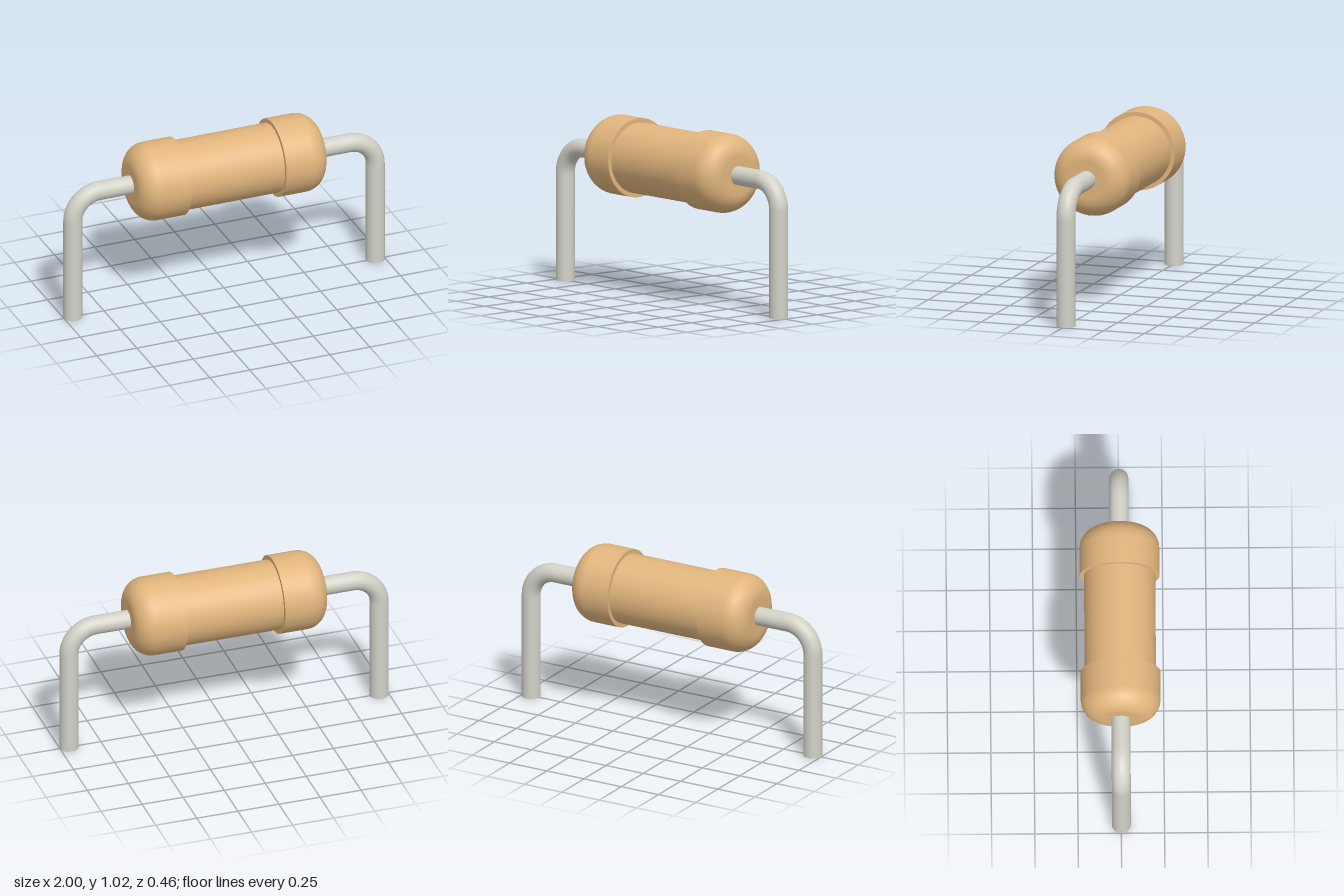
import * as THREE from 'three';

const AXIS_Y = 0.791;      // height of the body axis
const WIRE_R = 0.055;
const LEG_X = 0.945;       // centre line of each leg
const BEND_R = 0.165;      // bend radius of the wire centre line
const CAP_R = 0.231, CAP_IN = 0.297, CAP_OUT = 0.585, FILLET = 0.12;

export function createModel() {
  const tan = new THREE.MeshStandardMaterial({ color: 0xe1b57d });
  tan.name = 'tan coating';
  const metal = new THREE.MeshStandardMaterial({ color: 0xd2d1c7 });
  metal.name = 'grey metal';

  const model = new THREE.Group();
  model.name = 'axialComponent';

  const add = (parent, name, geometry, material) => {
    const mesh = new THREE.Mesh(geometry, material);
    mesh.name = name;
    parent.add(mesh);
    return mesh;
  };

  // Slim middle of the body
  const barrel = add(model, 'barrel',
    new THREE.CylinderGeometry(0.206, 0.206, 2 * CAP_IN + 0.02, 64, 1, true), tan);
  barrel.rotation.z = Math.PI / 2;
  barrel.position.y = AXIS_Y;

  // End cap profile: flat inner step, straight wall, rounded outer rim.
  // The doubled point keeps the step edge sharp.
  const profile = [
    new THREE.Vector2(0.19, CAP_IN),
    new THREE.Vector2(CAP_R, CAP_IN),
    new THREE.Vector2(CAP_R, CAP_IN),
  ];
  const steps = 12;
  for (let i = 0; i <= steps; i++) {
    const a = (i / steps) * Math.PI / 2;
    profile.push(new THREE.Vector2(
      CAP_R - FILLET + FILLET * Math.cos(a),
      CAP_OUT - FILLET + FILLET * Math.sin(a)));
  }
  profile.push(new THREE.Vector2(0, CAP_OUT));
  const capGeometry = new THREE.LatheGeometry(profile, 64);

  // Wire pieces: straight lead, quarter bend, straight leg
  const bendX = LEG_X - BEND_R, bendY = AXIS_Y - BEND_R;
  const leadStart = CAP_OUT - 0.03;
  const leadGeometry = new THREE.CylinderGeometry(
    WIRE_R, WIRE_R, bendX - leadStart, 32, 1, true);
  const bendGeometry = new THREE.TorusGeometry(BEND_R, WIRE_R, 32, 20, Math.PI / 2);
  // Closed leg, so the cut end at the bottom is flat
  const legGeometry = new THREE.CylinderGeometry(WIRE_R, WIRE_R, bendY, 32);

  // Each end is the same, turned half round
  for (const side of ['left', 'right']) {
    const end = new THREE.Group();
    end.name = side + 'End';
    end.rotation.y = side === 'left' ? 0 : Math.PI;
    model.add(end);

    const cap = add(end, side + 'Cap', capGeometry, tan);
    cap.rotation.z = -Math.PI / 2;
    cap.position.y = AXIS_Y;

    const lead = add(end, side + 'Lead', leadGeometry, metal);
    lead.rotation.z = -Math.PI / 2;
    lead.position.set((leadStart + bendX) / 2, AXIS_Y, 0);

    add(end, side + 'Bend', bendGeometry, metal).position.set(bendX, bendY, 0);
    add(end, side + 'Leg', legGeometry, metal).position.set(LEG_X, bendY / 2, 0);
  }
  return model;
}
